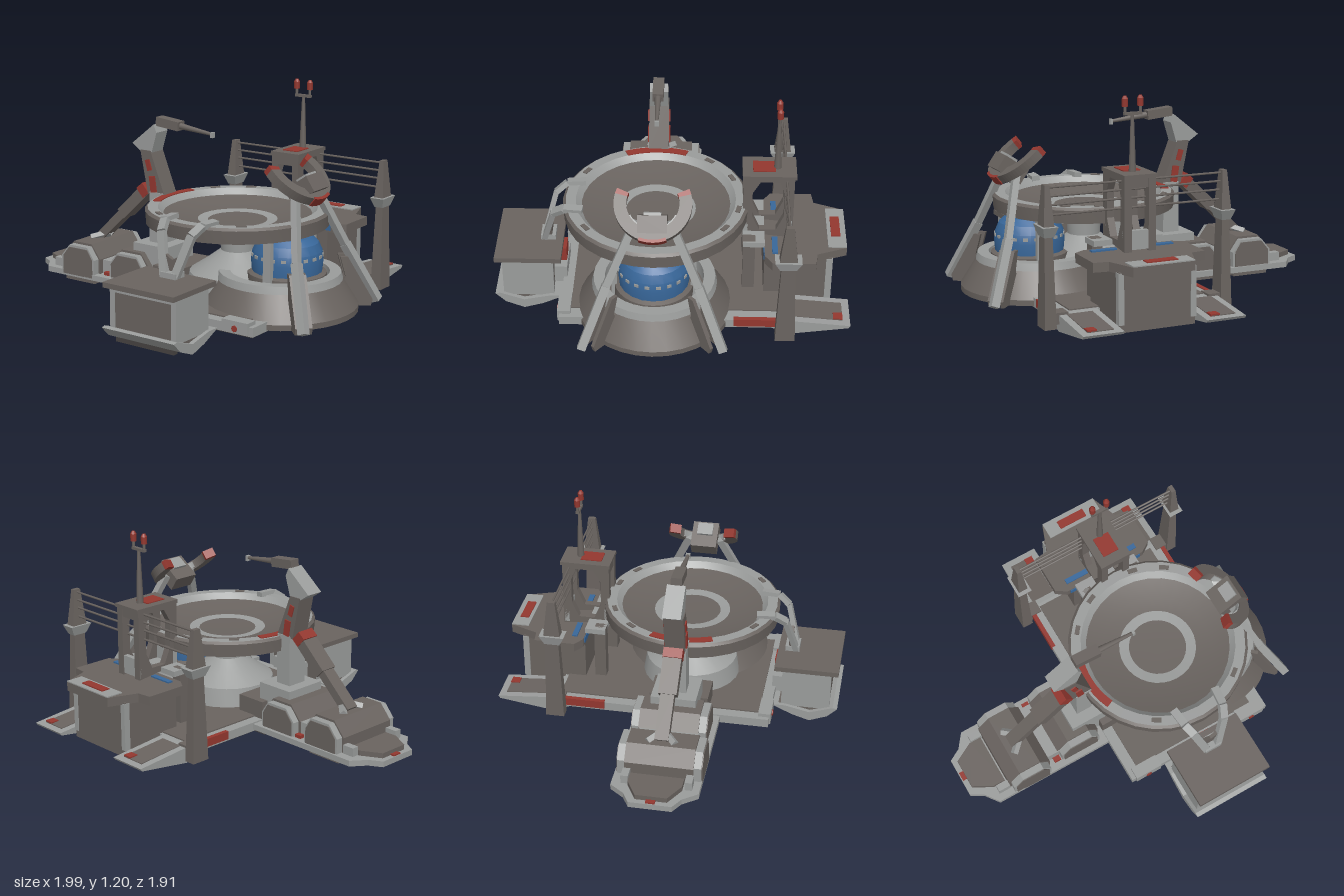
import * as THREE from 'three';
import { toCreasedNormals } from 'three/addons/utils/BufferGeometryUtils.js';

const paint = (name, color) => Object.assign(new THREE.MeshStandardMaterial({ color }), { name });

export function createModel() {
  const root = new THREE.Group();
  root.name = 'landingStation';
  const dark = paint('dark grey', 0x69635f), light = paint('light grey', 0x9a9c9b);
  const red = paint('dull red', 0x93372f), blue = paint('glass blue', 0x38679a);
  const black = paint('charcoal', 0x454240);
  const V = (x, y, z) => new THREE.Vector3(x, y, z);
  const CZ = 0.085; // shared centre line of pad, crane and dome

  function add(name, geo, mat, x = 0, y = 0, z = 0, parent = root) {
    const m = new THREE.Mesh(geo, mat);
    m.name = name;
    m.position.set(x, y, z);
    parent.add(m);
    return m;
  }
  const box = (name, mat, x0, x1, y0, y1, z0, z1) =>
    add(name, new THREE.BoxGeometry(x1 - x0, y1 - y0, z1 - z0), mat, (x0 + x1) / 2, (y0 + y1) / 2, (z0 + z1) / 2);
  const shapeOf = (pts) => new THREE.Shape(pts.map((p) => new THREE.Vector2(p[0], p[1])));
  const extrude = (shape, depth) => new THREE.ExtrudeGeometry(shape, { depth, bevelEnabled: false, curveSegments: 20 });
  // outline in x,y, running along z
  const prismZ = (name, mat, pts, z0, z1) => add(name, extrude(shapeOf(pts), z1 - z0), mat, 0, 0, z0);
  // outline in z,y, running along x
  const prismX = (name, mat, pts, x0, x1, hole) => {
    const s = shapeOf(pts);
    if (hole) s.holes.push(shapeOf(hole));
    return add(name, extrude(s, x1 - x0).rotateY(-Math.PI / 2), mat, x1);
  };
  // outline in x,z, running along y
  const slab = (name, mat, pts, y0, y1) =>
    add(name, extrude(shapeOf(pts.map(([x, z]) => [x, -z])), y1 - y0).rotateX(-Math.PI / 2), mat, 0, y0, 0);
  const lathe = (name, mat, pts, x, z, n = 32) =>
    add(name, toCreasedNormals(new THREE.LatheGeometry(pts.map((p) => new THREE.Vector2(p[0], p[1])), n), 0.4), mat, x, 0, z);
  function aim(m, a, b) {
    m.position.copy(a).lerp(b, 0.5);
    m.quaternion.setFromUnitVectors(V(0, 1, 0), b.clone().sub(a).normalize());
    return m;
  }
  const beam = (name, mat, a, b, w, d) => aim(add(name, new THREE.BoxGeometry(w, a.distanceTo(b), d), mat), a, b);
  const rod = (name, mat, a, b, r0, r1 = r0, n = 8) =>
    aim(add(name, new THREE.CylinderGeometry(r1, r0, a.distanceTo(b), n), mat), a, b);

  // Main deck
  box('deck', light, -0.16, 0.735, 0.08, 0.13, -0.62, 0.59);
  box('deckPanel', dark, -0.1, 0.66, 0.13, 0.137, -0.6, 0.53);
  box('deckUnderside', black, -0.15, 0.725, 0.073, 0.08, -0.6, 0.58);
  box('lowerHull', black, -0.2, 0.76, 0.055, 0.08, -0.1, 0.28);
  for (const [x0, x1] of [[-0.165, -0.14], [0.715, 0.74]]) box('deckRedEdge', red, x0, x1, 0.09, 0.135, -0.58, -0.34);
  for (const x of [-0.055, 0.63]) {
    box('deckBumper', light, x - 0.08, x + 0.08, 0.085, 0.15, 0.53, 0.6);
    rod('bumperLamp', red, V(x, 0.11, 0.598), V(x, 0.11, 0.606), 0.017);
  }

  // Raised dish
  const PX = 0.29;
  lathe('dishRim', light, [[0.4, 0.565], [0.43, 0.598], [0.485, 0.598]].reverse(), PX, CZ);
  lathe('dishSide', dark, [[0, 0.5], [0.4, 0.5], [0.495, 0.515], [0.5, 0.585], [0.485, 0.598]], PX, CZ);
  lathe('dishBowl', dark, [[0.4, 0.565], [0.3, 0.54], [0.215, 0.53]], PX, CZ);
  lathe('dishRing', light, [[0.215, 0.53], [0.16, 0.525]], PX, CZ);
  lathe('dishCentre', dark, [[0.16, 0.525], [0, 0.52]], PX, CZ);
  lathe('dishColumn', light, [[0.28, 0.13], [0.26, 0.24], [0.17, 0.3], [0.09, 0.36], [0.1, 0.5]], PX, CZ, 24);
  // painted patches on the dish rim
  const patch = (mat, a0, a1, r0, r1) => {
    const s = new THREE.Shape().absarc(0, 0, r1, a0, a1, false).absarc(0, 0, r0, a1, a0, true);
    add('rimPatch', extrude(s, 0.005).rotateX(-Math.PI / 2), mat, PX, 0.598, CZ);
  };
  patch(red, 2.78, 3.55, 0.425, 0.47);
  for (const a of [0.9, 1.3, 1.95, 2.4, 4.1, 5.3]) patch(dark, a, a + 0.12, 0.44, 0.465);

  // Round base with glass dome
  const BX = 0.565;
  lathe('domeBase', dark, [[0, 0.085], [0.42, 0.085], [0.42, 0.115], [0.335, 0.25]], BX, CZ);
  lathe('domeBaseRing', light, [[0.335, 0.25], [0.325, 0.29], [0.265, 0.29], [0.265, 0.21]], BX, CZ);
  lathe('domeBaseFloor', dark, [[0.265, 0.21], [0, 0.21]], BX, CZ);
  lathe('domeFoot', dark, [[0.21, 0.21], [0.21, 0.29], [0.185, 0.3]], 0.61, CZ);
  lathe('dome', blue, [[0.185, 0.28], [0.192, 0.36], [0.185, 0.41], [0.165, 0.455], [0.13, 0.485], [0, 0.487]], 0.61, CZ, 20);
  for (let i = 0; i < 20; i++) {
    const a = (i + 0.5) * Math.PI / 10;
    const w = add('domeWindow', new THREE.BoxGeometry(0.025, 0.016, 0.008), light, 0.61 + 0.187 * Math.sin(a), 0.388, CZ + 0.187 * Math.cos(a));
    w.rotation.y = a;
  }
  for (const s of [-1, 1]) box('domePost', light, 0.605, 0.65, 0.22, 0.51, CZ + s * 0.21 - 0.015, CZ + s * 0.21 + 0.015);

  // Radial legs carrying the clamp
  for (const s of [-1, 1]) {
    const foot = V(0.95, 0.1, CZ + s * 0.37), knee = V(0.82, 0.42, CZ + s * 0.24), top = V(0.71, 0.76, CZ + s * 0.09);
    beam('legLower', light, foot, knee, 0.045, 0.045);
    beam('legUpper', light, knee, top, 0.036, 0.04);
    const fin = shapeOf([[0.2, 0.1], [0.44, 0.085], [0.45, 0.12], [0.31, 0.36], [0.27, 0.36], [0.3, 0.25]]);
    const a = Math.atan2(-s * 0.37, 0.4);
    for (const o of [-0.035, 0.035]) {
      const m = add('legFin', extrude(fin, 0.02).translate(0, 0, o - 0.01), dark, 0.6, 0, CZ + s * 0.03);
      m.rotation.y = a;
    }
  }
  beam('clampHub', dark, V(0.66, 0.71, CZ), V(0.79, 0.8, CZ), 0.09, 0.15);
  beam('clampHubPlate', light, V(0.7, 0.78, CZ), V(0.76, 0.82, CZ), 0.05, 0.09);

  // Open clamp, tilted towards the dish
  const clamp = new THREE.Group();
  clamp.name = 'clamp';
  clamp.quaternion.setFromRotationMatrix(new THREE.Matrix4().makeBasis(V(0, 0, 1), V(-0.773, 0.634, 0), V(-0.634, -0.773, 0)));
  clamp.position.set(0.655, 0.825, CZ);
  root.add(clamp);
  const arc = (name, mat, a0, a1, r0, r1, d) => {
    const s = new THREE.Shape().absarc(0, 0, r1, a0, a1, false).absarc(0, 0, r0, a1, a0, true);
    add(name, extrude(s, d).translate(0, 0, -d / 2), mat, 0, 0, 0, clamp);
  };
  arc('clampArc', dark, Math.PI - 0.25, 2 * Math.PI + 0.25, 0.135, 0.2, 0.05);
  arc('clampTip', red, 0.25, 0.4, 0.135, 0.2, 0.05);
  arc('clampTip', red, Math.PI - 0.4, Math.PI - 0.25, 0.135, 0.2, 0.05);
  arc('clampStripe', red, 4.35, 5.07, 0.19, 0.206, 0.054);
  arc('clampPad', light, 3.6, 5.8, 0.128, 0.137, 0.035);

  // Front cargo box with its curved skid
  box('cargoBox', dark, 0.08, 0.49, 0.07, 0.315, 0.64, 0.905);
  box('cargoLid', dark, 0.06, 0.51, 0.312, 0.34, 0.59, 0.95);
  for (const x of [0.075, 0.465]) box('cargoCorner', light, x, x + 0.03, 0.08, 0.312, 0.635, 0.91);
  box('cargoTrim', light, 0.075, 0.495, 0.285, 0.312, 0.635, 0.911);
  prismX('cargoSkid', light, [[0.955, 0.1], [0.9, 0.045], [0.8, 0.005], [0.7, 0.035], [0.58, 0.09], [0.66, 0.09], [0.8, 0.06], [0.93, 0.105]], 0.055, 0.515);
  beam('skidPanel', black, V(0.1, 0.049, 0.882), V(0.47, 0.049, 0.882), 0.06, 0.03);
  prismX('cargoHull', dark, [[0.62, 0.09], [0.8, 0.04], [0.91, 0.09]], 0.08, 0.49);
  box('cargoHitch', light, 0.18, 0.4, 0.1, 0.2, 0.57, 0.65);
  box('hitchBlock', red, 0.24, 0.34, 0.2, 0.28, 0.575, 0.625);

  // Forked strut from box to dish
  box('strutFoot', light, 0.24, 0.34, 0.335, 0.37, 0.63, 0.71);
  for (const s of [-1, 1]) {
    const p = [V(PX + s * 0.035, 0.35, 0.69), V(PX + s * 0.095, 0.56, 0.63), V(PX + s * 0.12, 0.605, 0.57), V(PX + s * 0.13, 0.605, 0.47)];
    for (let i = 0; i < 3; i++) beam('strutArm', light, p[i], p[i + 1], 0.045, 0.028);
  }
  prismZ('strutWeb', dark, [[0.25, 0.36], [0.33, 0.36], [0.36, 0.47], [0.29, 0.43], [0.22, 0.47]], 0.65, 0.67);

  // Side arm with two housings
  slab('armPlate', light, [[-1, -0.03], [-0.93, -0.07], [-0.87, -0.15], [-0.15, -0.15], [-0.15, 0.32], [-0.87, 0.32], [-0.93, 0.24], [-1, 0.2]], 0.09, 0.122);
  slab('armNose', dark, [[-0.97, 0], [-0.86, -0.06], [-0.79, -0.06], [-0.79, 0.23], [-0.86, 0.23], [-0.97, 0.17]], 0.12, 0.15);
  box('noseLamp', red, -0.995, -0.96, 0.1, 0.13, 0.06, 0.11);
  for (const z of [-0.1, 0.24]) box('noseBlock', light, -0.85, -0.78, 0.12, 0.17, z, z + 0.04);
  const housing = (x0, x1, h, z0, z1) => {
    const oct = (e) => [[x0 + e, 0.1], [x1 - e, 0.1], [x1 - e, h - 0.08], [x1 - 0.06, h - e], [x0 + 0.07, h - e], [x0 + e, h - 0.08]];
    prismZ('housing', dark, oct(0), z0 + 0.045, z1 - 0.045);
    prismZ('housingEnds', light, oct(0.012), z0 + 0.005, z1 - 0.005);
    prismZ('housingFace', dark, oct(0.025), z0, z1);
    box('housingSkid', dark, x0 + 0.02, x1 - 0.03, 0.06, 0.09, z0 + 0.03, z1 - 0.03);
  };
  housing(-0.78, -0.52, 0.285, -0.14, 0.32);
  housing(-0.455, -0.19, 0.28, -0.13, 0.29);
  box('housingLink', light, -0.54, -0.44, 0.12, 0.2, -0.08, 0.25);
  for (const z of [-0.12, 0.25]) box('linkLamp', red, -0.49, -0.45, 0.122, 0.14, z, z + 0.03);
  box('craneBase', light, -0.33, -0.1, 0.12, 0.325, -0.04, 0.21);
  box('craneStep', dark, -0.16, 0.02, 0.12, 0.23, -0.08, 0.25);

  // Crane
  box('craneTower', light, -0.265, -0.17, 0.3, 0.61, 0.025, 0.145);
  prismZ('craneNeck', dark, [[-0.28, 0.6], [-0.165, 0.6], [-0.26, 0.84], [-0.33, 0.84]], 0.03, 0.14);
  prismZ('craneHead', light, [[-0.33, 0.83], [-0.255, 0.83], [-0.22, 0.945], [-0.24, 0.99], [-0.39, 0.87]], 0.035, 0.135);
  for (const z of [0.027, 0.143]) {
    beam('neckPanel', red, V(-0.235, 0.61, z), V(-0.248, 0.7, z), 0.04, 0.008);
    beam('neckPanel', red, V(-0.262, 0.73, z), V(-0.28, 0.79, z), 0.03, 0.008);
  }
  beam('craneBoom', dark, V(-0.24, 1.005, CZ), V(-0.09, 0.99, CZ), 0.05, 0.06);
  rod('craneNozzle', dark, V(-0.09, 0.99, CZ), V(0.12, 0.968, CZ), 0.018, 0.009);
  box('nozzleTip', light, 0.115, 0.13, 0.95, 0.98, CZ - 0.012, CZ + 0.012);
  beam('craneBrace', dark, V(-0.66, 0.28, CZ), V(-0.46, 0.47, CZ), 0.05, 0.075);
  beam('craneBrace', dark, V(-0.48, 0.45, CZ), V(-0.3, 0.62, CZ), 0.065, 0.1);
  beam('braceHead', red, V(-0.34, 0.59, CZ), V(-0.3, 0.625, CZ), 0.07, 0.105);
  for (const s of [-1, 1]) beam('braceFoot', light, V(-0.6, 0.31, CZ), V(-0.68, 0.285, CZ + s * 0.075), 0.03, 0.03);

  // Rear building
  box('rearBlock', dark, 0.08, 0.5, 0.06, 0.37, -0.86, -0.5);
  for (const x of [0.075, 0.475]) box('rearCorner', light, x, x + 0.03, 0.1, 0.365, -0.865, -0.83);
  slab('rearRoof', dark, [[-0.02, -0.77], [0.06, -0.78], [0.12, -0.94], [0.46, -0.94], [0.52, -0.78], [0.6, -0.77], [0.6, -0.54], [0.54, -0.5], [0.04, -0.5], [-0.02, -0.54]], 0.36, 0.41);
  box('roofTrim', light, 0.12, 0.46, 0.41, 0.416, -0.94, -0.84);
  box('roofGrille', red, 0.2, 0.37, 0.41, 0.422, -0.91, -0.86);
  box('rearWindowBand', blue, 0.06, 0.52, 0.37, 0.405, -0.503, -0.495);
  for (const x of [0.06, 0.38]) box('roofWindow', blue, x, x + 0.14, 0.41, 0.418, -0.57, -0.54);
  // ramps beside the rear block
  for (const [x0, x1] of [[-0.16, 0.06], [0.515, 0.735]]) {
    prismX('ramp', light, [[-0.54, 0.08], [-0.64, 0.04], [-0.95, 0.085], [-0.96, 0.1], [-0.62, 0.13], [-0.54, 0.13]], x0, x1);
    beam('rampPanel', dark, V((x0 + x1) / 2, 0.126, -0.65), V((x0 + x1) / 2, 0.104, -0.92), x1 - x0 - 0.08, 0.008);
    box('rampLamp', red, (x0 + x1) / 2 + 0.02, (x0 + x1) / 2 + 0.07, 0.1, 0.116, -0.92, -0.87);
  }

  // Open gate tower on the rear roof
  const T = [0.2, 0.375];
  for (const x0 of [T[0], T[1] - 0.04])
    prismX('towerSide', dark, [[-0.65, 0.41], [-0.38, 0.44], [-0.38, 0.8], [-0.65, 0.8]].reverse(), x0, x0 + 0.04,
      [[-0.56, 0.46], [-0.47, 0.46], [-0.43, 0.55], [-0.43, 0.7], [-0.47, 0.77], [-0.57, 0.77], [-0.6, 0.7], [-0.6, 0.55]]);
  box('towerTop', dark, 0.195, 0.38, 0.79, 0.81, -0.66, -0.375);
  box('towerTopPanel', red, 0.24, 0.335, 0.81, 0.815, -0.55, -0.43);
  for (const z of [-0.645, -0.41]) {
    box('towerLintel', dark, T[0], T[1], 0.74, 0.8, z, z + 0.028);
    box('towerSill', light, T[0], T[1], 0.42, 0.52, z, z + 0.028);
  }
  box('towerLamp', red, 0.25, 0.33, 0.47, 0.5, -0.382, -0.374);
  for (const x of [0.1, 0.41]) box('towerColumn', dark, x, x + 0.06, 0.13, 0.45, -0.45, -0.385);
  box('towerBridge', light, 0.09, 0.48, 0.42, 0.45, -0.5, -0.385);

  // Antenna mast
  rod('mast', dark, V(PX, 0.81, -0.56), V(PX, 1.1, -0.56), 0.02, 0.009);
  box('mastBar', dark, 0.238, 0.338, 1.1, 1.115, -0.57, -0.55);
  for (const x of [0.245, 0.331]) {
    rod('mastPin', dark, V(x, 1.11, -0.56), V(x, 1.15, -0.56), 0.008);
    rod('mastBulb', red, V(x, 1.145, -0.56), V(x, 1.185, -0.56), 0.017);
    rod('mastBulbTip', red, V(x, 1.185, -0.56), V(x, 1.2, -0.56), 0.017, 0.008);
  }

  // Pylons and the cable fence between them
  for (const s of [-1, 1]) {
    const x = PX + s * 0.495;
    const pylon = (name, mat, y0, y1, r0, r1) => {
      const g = new THREE.CylinderGeometry(r1, r0, y1 - y0, 4).rotateY(Math.PI / 4);
      add(name, toCreasedNormals(g, 0.3), mat, x, (y0 + y1) / 2, -0.61).scale.x = 0.6;
    };
    pylon('pylonBase', dark, 0.06, 0.54, 0.075, 0.05);
    pylon('pylonCollar', light, 0.53, 0.585, 0.06, 0.098);
    pylon('pylonTop', dark, 0.585, 0.79, 0.065, 0.03);
    box('pylonMount', dark, Math.min(x, x - s * 0.1), Math.max(x, x - s * 0.1), 0.08, 0.14, -0.65, -0.57);
  }
  for (const y of [0.635, 0.685, 0.73, 0.775])
    rod('fenceCable', dark, V(PX - 0.49, y, -0.61), V(PX + 0.49, y, -0.61), 0.006, 0.006, 6);

  return root;
}
